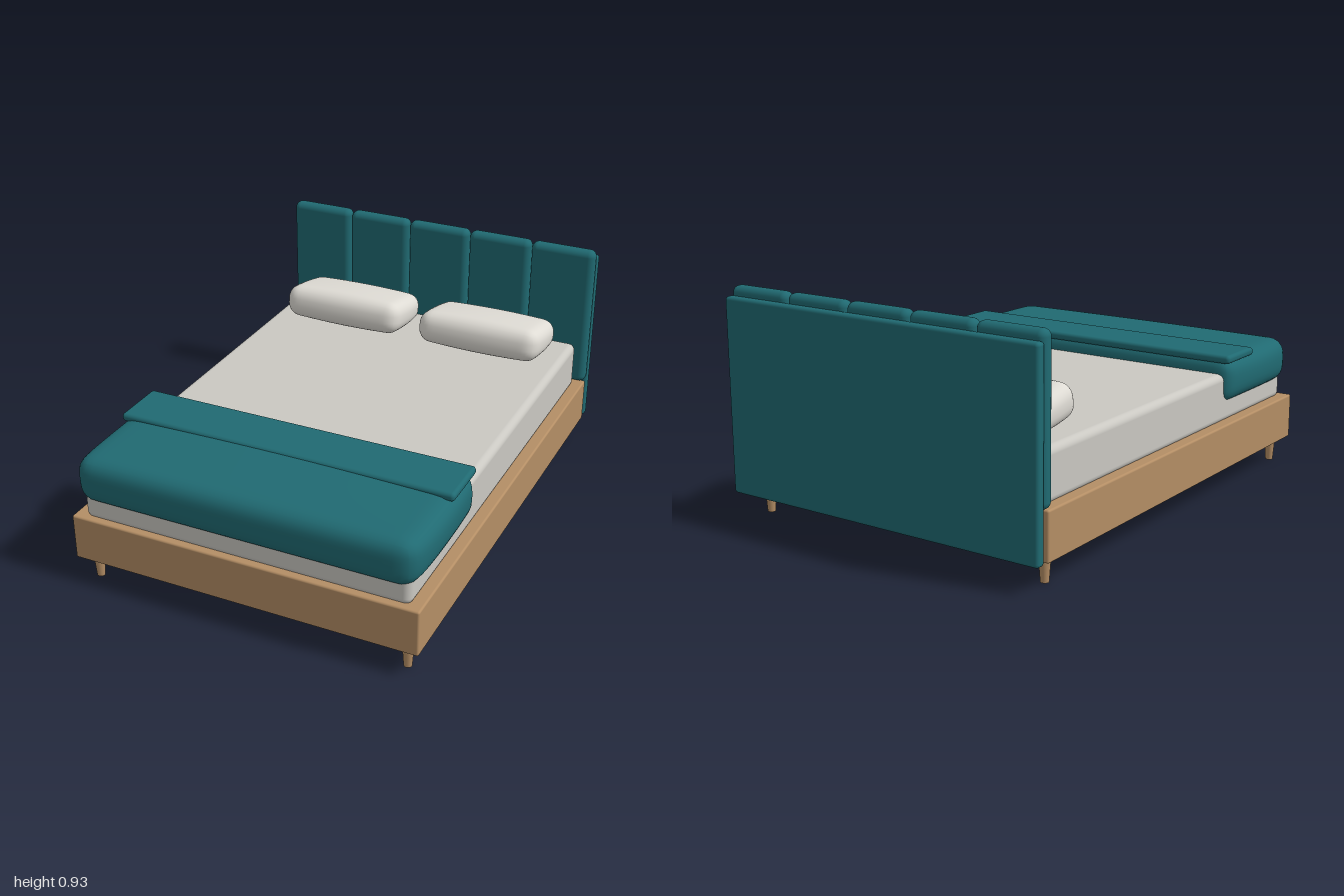
import * as THREE from 'three';
import { mergeVertices } from 'three/addons/utils/BufferGeometryUtils.js';
import { RoundedBoxGeometry } from 'three/addons/geometries/RoundedBoxGeometry.js';

function material(name, color) {
  const m = new THREE.MeshStandardMaterial({ color });
  m.name = name;
  return m;
}

// Smooth cushion: a dense box with rounded edges, then reshaped by a rule.
// The rule receives the point and its -1..1 position along each axis.
function softBox(w, h, d, radius, reshape) {
  const half = new THREE.Vector3(w / 2, h / 2, d / 2);
  let geo = new THREE.BoxGeometry(2, 2, 2, 28, 14, 24);
  geo.deleteAttribute('normal');
  geo.deleteAttribute('uv');
  geo = mergeVertices(geo);
  const pos = geo.attributes.position;
  const p = new THREE.Vector3(), inner = new THREE.Vector3();
  const limit = half.clone().subScalar(radius);
  const ease = (t) => Math.sin(t * Math.PI / 2);
  for (let i = 0; i < pos.count; i++) {
    p.fromBufferAttribute(pos, i);
    p.set(ease(p.x), ease(p.y), ease(p.z)).multiply(half);
    inner.copy(p).clamp(limit.clone().negate(), limit);
    p.sub(inner).setLength(radius).add(inner);
    reshape(p, p.x / half.x, p.y / half.y, p.z / half.z);
    pos.setXYZ(i, p.x, p.y, p.z);
  }
  geo.computeVertexNormals();
  return geo;
}

export function createModel() {
  const bed = new THREE.Group();
  bed.name = 'bed';
  const wood = material('oak wood', 0xb48e65);
  const teal = material('teal fabric', 0x206a72);
  const linen = material('mattress linen', 0xcac8c2);
  const cotton = material('pillow cotton', 0xdedbd4);

  const add = (name, geo, mat, x, y, z) => {
    const mesh = new THREE.Mesh(geo, mat);
    mesh.name = name;
    mesh.position.set(x, y, z);
    bed.add(mesh);
    return mesh;
  };
  // Rounded box given by its extents along each axis
  const block = (name, mat, [x0, x1], [y0, y1], [z0, z1], radius) =>
    add(name, new RoundedBoxGeometry(x1 - x0, y1 - y0, z1 - z0, 4, radius), mat,
      (x0 + x1) / 2, (y0 + y1) / 2, (z0 + z1) / 2);

  // Base and mattress
  block('bedFrame', wood, [-0.73, 0.73], [0.102, 0.296], [-0.935, 0.998], 0.008);
  block('mattress', linen, [-0.685, 0.685], [0.285, 0.495], [-0.895, 0.972], 0.03);

  // Tapered legs
  const legGeo = new THREE.CylinderGeometry(0.024, 0.016, 0.106, 20);
  for (const x of [-0.665, 0.665]) {
    for (const z of [-0.862, 0.935]) add('leg', legGeo, wood, x, 0.053, z);
  }

  // Headboard: back panel and five upholstered channels
  block('headboardBack', teal, [-0.73, 0.73], [0.102, 0.892], [-1, -0.956], 0.014);
  for (let i = 0; i < 5; i++) {
    const x = (i - 2) * 0.293;
    block('headboardPanel', teal, [x - 0.144, x + 0.144], [0.296, 0.93], [-0.967, -0.902], 0.028);
  }

  // Blanket over the foot end, fuller towards the front
  const blanket = softBox(1.4, 0.19, 0.575, 0.055, (p, u, v, w) => {
    p.x += u * (1 - v * v) * (0.01 + 0.012 * (1 - w * w));
    p.z += Math.max(w, 0) * (1 - v * v) * 0.008;
    if (v > 0) p.y += v * 0.012 * (1 - u * u) * (1 - w * w);
    // tighter front corners in plan
    p.x -= u * 0.02 * Math.pow(Math.max(w, 0), 6);
  });
  add('blanket', blanket, teal, 0, 0.46, 0.704);
  block('blanketFold', teal, [-0.71, 0.71], [0.54, 0.575], [0.415, 0.645], 0.015);

  // Plump pillows, thinner at the back and slightly tilted
  const pillowGeo = softBox(0.54, 0.13, 0.32, 0.055, (p, u, v, w) => {
    p.y += v * 0.016 * (1 - u * u) * (1 - w * w);
    p.x += u * 0.012 * (1 - w * w);
    p.z += w * 0.006 * (1 - u * u);
    p.x *= 1 + 0.015 * w;
    p.y *= 1 + 0.08 * w;
  });
  for (const side of [-1, 1]) {
    const pillow = add(side < 0 ? 'rightPillow' : 'leftPillow', pillowGeo, cotton, side * 0.326, 0.567, -0.71);
    pillow.rotation.x = -0.17;
  }

  return bed;
}
